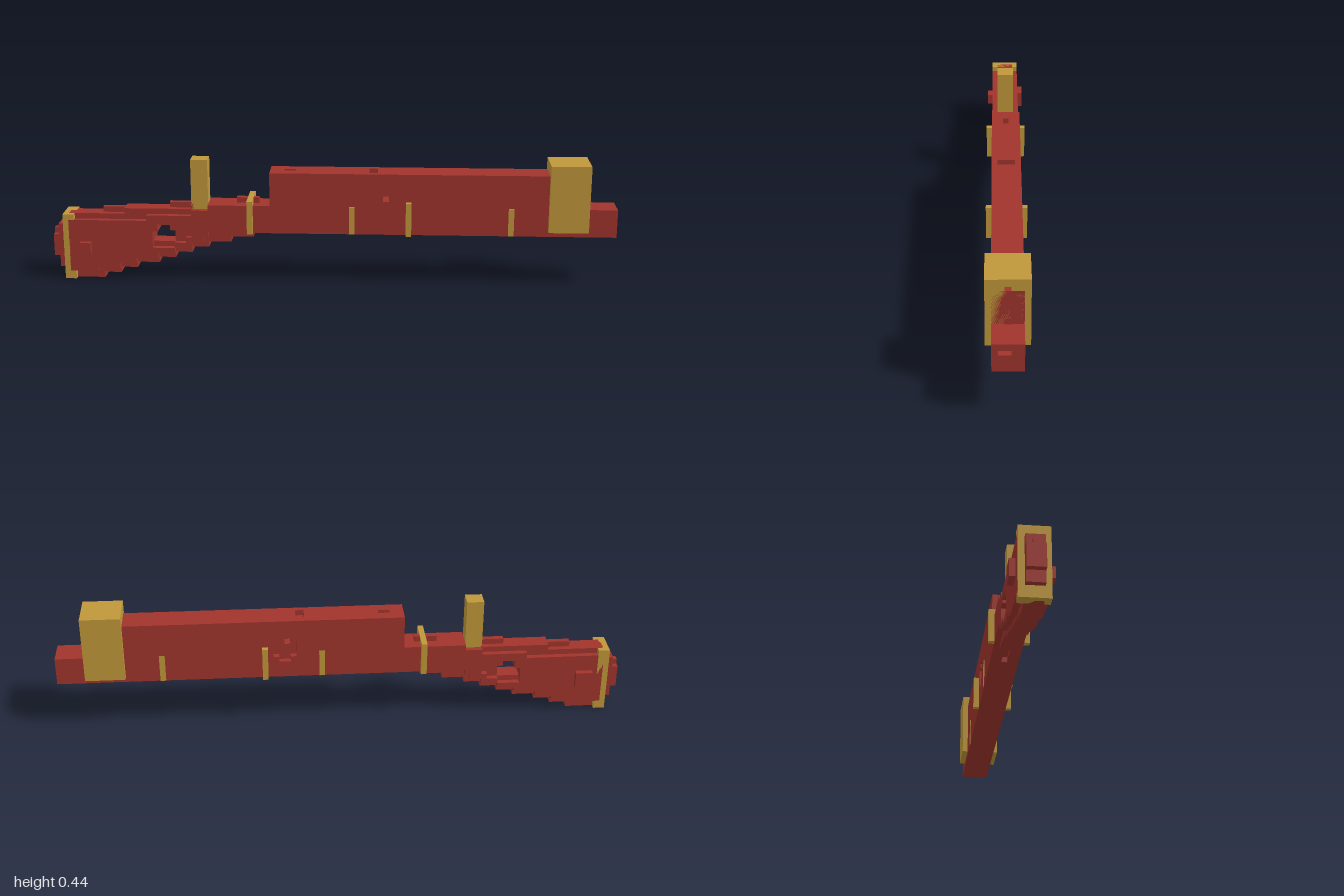
import * as THREE from 'three';

export function createModel() {
  const model = new THREE.Group();
  const wood = new THREE.MeshStandardMaterial({ color: 0xa0342c });
  wood.name = 'redWood';
  const brass = new THREE.MeshStandardMaterial({ color: 0xc0983a });
  brass.name = 'brass';

  const add = (name, geo, mat) => {
    const mesh = new THREE.Mesh(geo, mat);
    mesh.name = name;
    model.add(mesh);
    return mesh;
  };
  // Box given by its limits on each axis
  const box = (name, mat, x0, x1, y0, y1, z0, z1) => {
    const geo = new THREE.BoxGeometry(x1 - x0, y1 - y0, z1 - z0);
    geo.translate((x0 + x1) / 2, (y0 + y1) / 2, (z0 + z1) / 2);
    return add(name, geo, mat);
  };
  const vecs = (pts) => pts.map(([x, y]) => new THREE.Vector2(x, y));
  const rect = (x0, x1, y0, y1) => [[x0, y0], [x1, y0], [x1, y1], [x0, y1]];
  // Cross with stepped arms, centred on cx, cy
  const cross = (cx, cy, a, b, c, d) => [
    [-a, -d], [a, -d], [a, -c], [b, -c], [b, d], [a, d],
    [a, c + d], [-a, c + d], [-a, d], [-b, d], [-b, -c], [-a, -c],
  ].map(([x, y]) => [cx + x, cy + y]);
  const extrude = (pts, holes, depth) => {
    const shape = new THREE.Shape(vecs(pts));
    holes.forEach((h) => shape.holes.push(new THREE.Path(vecs(h))));
    return new THREE.ExtrudeGeometry(shape, { depth, bevelEnabled: false });
  };
  const slabZ = (name, mat, pts, holes, z0, z1) =>
    add(name, extrude(pts, holes, z1 - z0).translate(0, 0, z0), mat);
  const slabY = (name, mat, pts, holes, y0, y1) =>
    add(name, extrude(pts, holes, y1 - y0).rotateX(-Math.PI / 2).translate(0, y0, 0), mat);
  const slabX = (name, mat, pts, holes, x0, x1) =>
    add(name, extrude(pts, holes, x1 - x0).rotateY(Math.PI / 2).translate(x0, 0, 0), mat);

  // Long fore-end, layered so the slots are real recesses
  const pin = rect(0.18, 0.2, 0.3, 0.32);
  const side = rect(-0.22, 0.9, 0.2, 0.38);
  slabZ('foreEnd', wood, side, [pin], -0.03, 0.05);
  slabZ('foreEndBack', wood, side, [cross(0.2, 0.28, 0.02, 0.04, 0.02, 0.04)], -0.05, -0.03);
  slabY('foreEndTop', wood, rect(-0.22, 0.9, -0.05, 0.05),
    [rect(-0.17, -0.13, -0.01, 0.01), rect(0.13, 0.16, -0.03, 0.03)], 0.38, 0.4);
  slabY('foreEndBottom', wood, rect(-0.44, 0.98, -0.05, 0.05),
    [rect(-0.24, -0.14, -0.01, 0.01)], 0.18, 0.2);

  // Muzzle end with a slot in its face
  box('muzzle', wood, 0.9, 0.98, 0.2, 0.28, -0.05, 0.05);
  slabX('muzzleFace', wood, rect(-0.05, 0.05, 0.18, 0.28), [rect(-0.03, 0.01, 0.24, 0.26)], 0.98, 1);

  // Wrist and the low ridge on top of it
  box('wrist', wood, -0.44, -0.22, 0.2, 0.28, -0.05, 0.05);
  box('wristRidge', wood, -0.34, -0.26, 0.28, 0.3, -0.01, 0.01);

  // Stepped butt: thin core plus inset cheeks
  const stepped = (bottom, top, end) => {
    const pts = [];
    bottom.forEach(([x, y], i) => {
      pts.push([x, y], [i + 1 < bottom.length ? bottom[i + 1][0] : end, y]);
    });
    for (let i = top.length - 1; i >= 0; i--) {
      pts.push([i + 1 < top.length ? top[i + 1][0] : end, top[i][1]], [top[i][0], top[i][1]]);
    }
    return pts;
  };
  const coreBottom = [[-0.94, 0], [-0.82, 0.02], [-0.76, 0.04], [-0.7, 0.06], [-0.62, 0.08],
    [-0.56, 0.1], [-0.5, 0.12], [-0.44, 0.14], [-0.36, 0.16]];
  const coreTop = [[-0.94, 0.24], [-0.74, 0.26], [-0.5, 0.28]];
  const thumbHole = cross(-0.6, 0.16, 0.02, 0.04, 0.02, 0.02);
  slabZ('buttCore', wood, stepped(coreBottom, coreTop, -0.28), [thumbHole], -0.03, 0.03);
  const cheekBottom = [[-0.94, 0.03], [-0.84, 0.04], [-0.76, 0.06], [-0.7, 0.08], [-0.62, 0.1],
    [-0.56, 0.12], [-0.5, 0.14], [-0.46, 0.16]];
  const cheekTop = [[-0.94, 0.22], [-0.66, 0.24], [-0.5, 0.26]];
  const recess = [[-0.64, 0.12], [-0.56, 0.12], [-0.56, 0.14], [-0.52, 0.14], [-0.52, 0.16],
    [-0.5, 0.16], [-0.5, 0.2], [-0.54, 0.2], [-0.54, 0.21], [-0.62, 0.21], [-0.62, 0.18], [-0.64, 0.18]];
  for (const s of [-1, 1]) {
    slabZ('buttCheek', wood, stepped(cheekBottom, cheekTop, -0.44), [recess],
      s > 0 ? 0.03 : -0.05, s > 0 ? 0.05 : -0.03);
  }
  box('combRidge', wood, -0.82, -0.74, 0.24, 0.26, -0.01, 0.01);
  box('combRidge', wood, -0.58, -0.5, 0.26, 0.28, -0.01, 0.01);
  box('leftStud', wood, -0.9, -0.86, 0.1, 0.14, 0.05, 0.07);
  box('rightStud', wood, -0.9, -0.84, 0.1, 0.16, -0.07, -0.05);

  // Butt plate and the stepped pad behind it
  box('buttPlate', brass, -0.96, -0.92, 0, 0.24, -0.05, 0.05);
  box('buttPad', wood, -0.98, -0.96, 0.04, 0.2, -0.03, 0.03);
  box('buttPadEnd', wood, -1, -0.98, 0.08, 0.16, -0.03, 0.03);
  box('buttPadEndCentre', wood, -1, -0.98, 0.16, 0.18, -0.01, 0.01);

  // Brass nose block with a small sight hole
  box('noseBlock', brass, 0.76, 0.88, 0.2, 0.44, -0.07, 0.07);
  slabX('noseBlockFace', brass, rect(-0.07, 0.07, 0.2, 0.44), [rect(-0.01, 0.01, 0.4, 0.42)], 0.88, 0.9);
  box('noseSlot', wood, 0.9, 0.903, 0.28, 0.3, -0.01, 0.01);

  // Rear post, bands and inlaid strips
  box('rearPost', brass, -0.5, -0.44, 0.26, 0.44, -0.03, 0.03);
  box('rearBandTop', brass, -0.3, -0.28, 0.28, 0.301, -0.07, 0.07);
  for (const s of [-1, 1]) {
    const z0 = s > 0 ? 0.05 : -0.07;
    box('rearBand', brass, -0.3, -0.28, 0.18, 0.28, z0, z0 + 0.02);
    box('middleBand', brass, 0.26, 0.28, 0.18, 0.3, z0, z0 + 0.02);
    for (const x of [0.06, 0.62]) {
      box('inlayStrip', brass, x, x + 0.02, 0.18, 0.28, s * 0.05 - 0.002, s * 0.05 + 0.002);
    }
  }
  return model;
}
